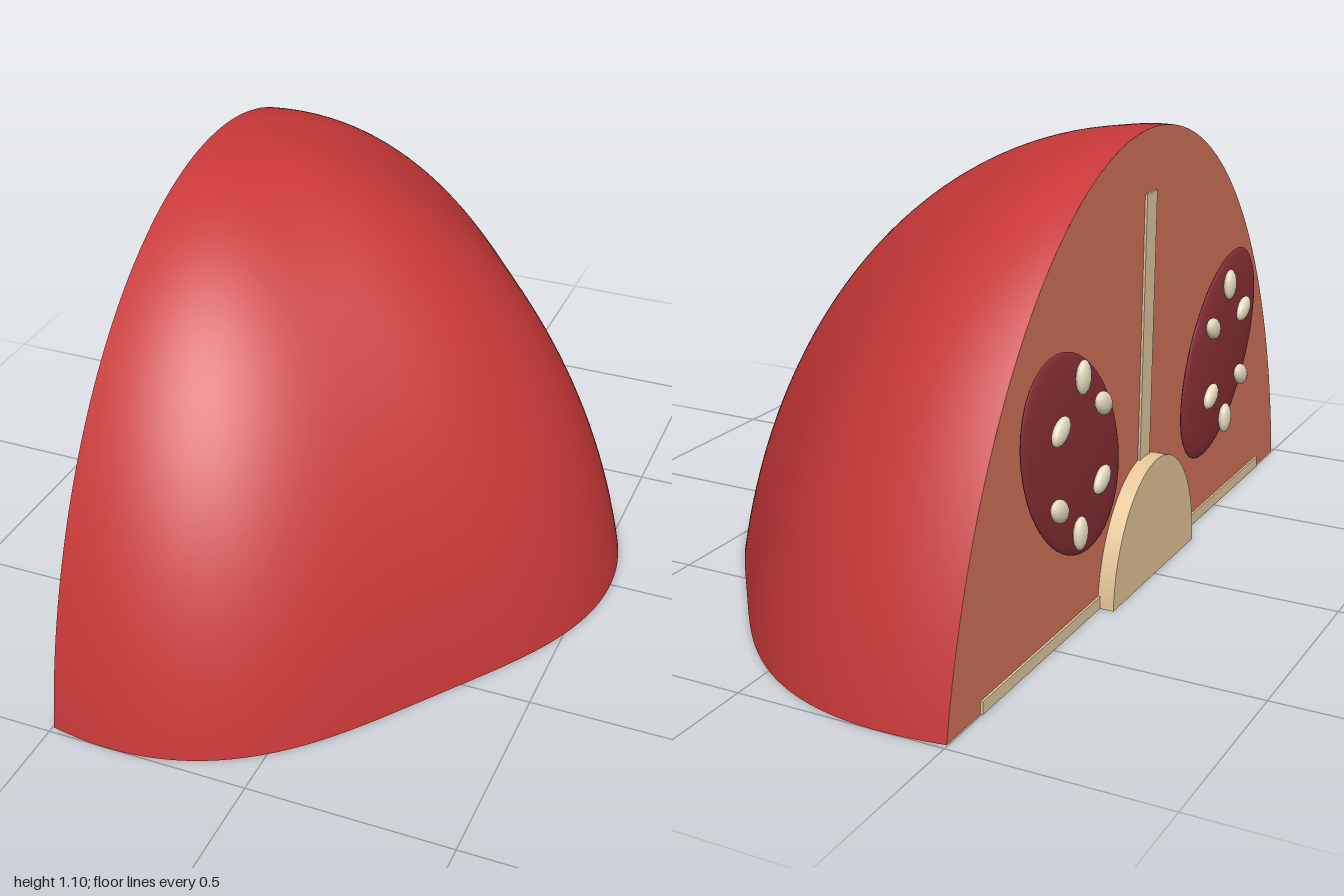
import * as THREE from 'three';
import { ParametricGeometry } from 'three/addons/geometries/ParametricGeometry.js';

const CUT_X = -0.497;            // plane of the cut face
const A0 = Math.asin(0.3 / 1.4); // the dome is an ellipsoid cut above its middle

const mat = (name, color, side = THREE.FrontSide) => {
  const m = new THREE.MeshStandardMaterial({ color, side });
  m.name = name;
  return m;
};

// Point on the skin: t = angle around the stem axis, a = elevation angle
function skinPoint(t, a, target = new THREE.Vector3()) {
  const lobe = 1 + 0.04 * Math.cos(5 * t);
  const f = lobe * Math.cos(a) / Math.cos(A0);
  return target.set(CUT_X + 1.01 * f * Math.cos(t), 1.4 * Math.sin(a) - 0.3, -0.985 * f * Math.sin(t));
}

export function createModel() {
  const group = new THREE.Group();
  const skin = mat('skin red', 0xc83838, THREE.DoubleSide);
  const flesh = mat('flesh salmon', 0xd4735a);
  const pulp = mat('pulp dark red', 0x8b3035);
  const pith = mat('core cream', 0xe8c89a);
  const rib = mat('rib cream', 0xe0cba2);
  const seedMat = mat('seed ivory', 0xf0e6c8);

  const add = (name, geometry, material, x = 0, y = 0, z = 0) => {
    const mesh = new THREE.Mesh(geometry, material);
    mesh.name = name;
    mesh.position.set(x, y, z);
    group.add(mesh);
    return mesh;
  };

  // Lobed outer skin
  add('skin', new ParametricGeometry((u, v, p) =>
    skinPoint((u - 0.5) * Math.PI, A0 + v * (Math.PI / 2 - 0.0005 - A0), p), 96, 48), skin);

  // Upright cut face and flat underside
  const facePoints = [], basePoints = [];
  for (let i = 0; i <= 64; i++) {
    const s = i / 32 - 1;
    const a = Math.PI / 2 - Math.abs(s) * (Math.PI / 2 - A0);
    const p = skinPoint(Math.PI / 2 * (s < 0 ? 1 : -1), a);
    facePoints.push(new THREE.Vector2(p.z, p.y));
    const b = skinPoint(s * Math.PI / 2, A0);
    basePoints.push(new THREE.Vector2(b.x, b.z));
  }
  add('cutFace', new THREE.ShapeGeometry(new THREE.Shape(facePoints)), flesh, CUT_X)
    .rotation.y = -Math.PI / 2;
  add('underside', new THREE.ShapeGeometry(new THREE.Shape(basePoints)), flesh)
    .rotation.x = Math.PI / 2;

  // Half-round core at the bottom of the cut face
  const core = add('core', new THREE.CylinderGeometry(1, 1, 0.04, 40, 1, false, 0, Math.PI), pith, -0.517);
  core.scale.set(0.3, 1, 0.25);
  core.rotation.z = Math.PI / 2;

  // Ribs between the chambers
  add('uprightRib', new THREE.BoxGeometry(0.009, 0.95, 0.06), rib, -0.498, 0.475, 0);
  add('bottomRib', new THREE.BoxGeometry(0.009, 0.03, 1.68), rib, -0.498, 0.015, 0);

  // Pulp chambers with a ring of seeds, mirrored front to back
  const ball = new THREE.SphereGeometry(1, 32, 20);
  const seedBall = new THREE.SphereGeometry(1, 16, 12);
  for (const side of [1, -1]) {
    const chamber = add('pulpChamber', ball, pulp, -0.516, 0.447, side * 0.45);
    chamber.scale.set(0.019, 0.2, 0.3);
    chamber.rotation.x = -side * Math.PI / 4;
    for (let i = 0; i < 6; i++) {
      const a = Math.PI / 6 + i * Math.PI / 3;
      const seed = add('seed', seedBall, seedMat, -0.54,
        0.45 + 0.18 * Math.sin(a), side * 0.45 + 0.127 * Math.cos(a));
      seed.scale.set(0.015, 0.026, 0.04);
      seed.rotation.x = -side * a;
    }
  }
  return group;
}
